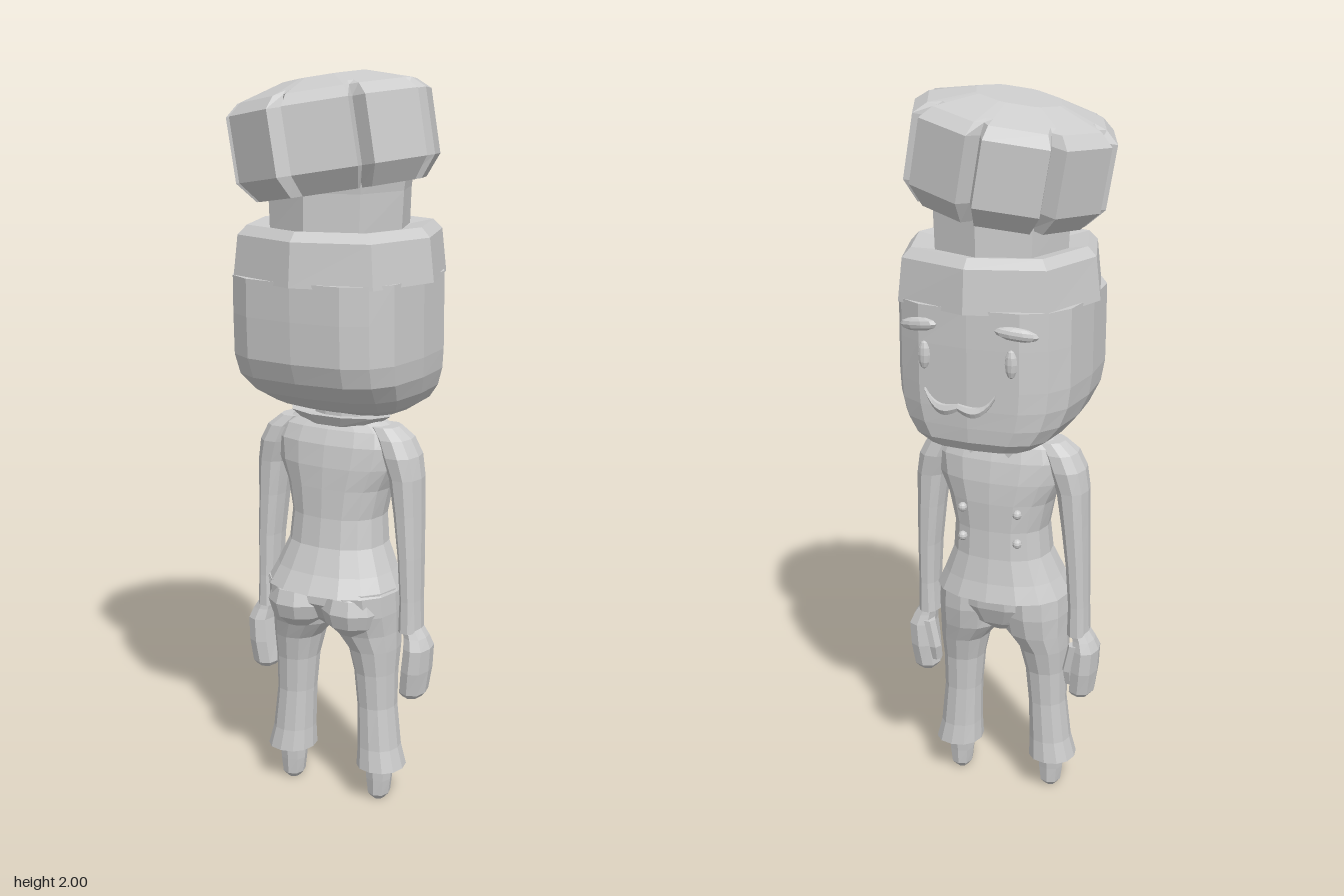
import * as THREE from 'three';

const TAU = Math.PI * 2;
const clay = new THREE.MeshStandardMaterial({ color: 0xcccccc, flatShading: true, side: THREE.DoubleSide });
clay.name = 'clay grey';

function addMesh(parent, name, geometry) {
  const mesh = new THREE.Mesh(geometry, clay);
  mesh.name = name;
  parent.add(mesh);
  return mesh;
}

// Skin through loops of points, closed with a centre fan at both ends
function skin(loops) {
  const n = loops[0].length, pos = [], idx = [];
  loops.forEach((loop) => loop.forEach((p) => pos.push(p.x, p.y, p.z)));
  for (let r = 0; r < loops.length - 1; r++) {
    for (let i = 0; i < n; i++) {
      const a = r * n + i, b = r * n + (i + 1) % n;
      idx.push(a, a + n, b, b, a + n, b + n);
    }
  }
  [0, loops.length - 1].forEach((r) => {
    const c = new THREE.Vector3();
    loops[r].forEach((p) => c.addScaledVector(p, 1 / n));
    const k = pos.length / 3;
    pos.push(c.x, c.y, c.z);
    for (let i = 0; i < n; i++) {
      const a = r * n + i, b = r * n + (i + 1) % n;
      idx.push(k, r ? b : a, r ? a : b);
    }
  });
  const g = new THREE.BufferGeometry();
  g.setAttribute('position', new THREE.Float32BufferAttribute(pos, 3));
  g.setIndex(idx);
  const flat = g.toNonIndexed();
  flat.computeVertexNormals();
  return flat;
}

// Rings are [y, centreX, centreZ, radiusX, radiusZ]; power 2 is an ellipse, more is boxier
function loft(rings, n = 12, power = 2) {
  const round = (v) => Math.sign(v) * Math.abs(v) ** (2 / power);
  return skin(rings.map(([y, cx, cz, rx, rz]) => Array.from({ length: n }, (_, i) => {
    const a = i / n * TAU;
    return new THREE.Vector3(cx + rx * round(Math.cos(a)), y, cz + rz * round(Math.sin(a)));
  })));
}

// Rings given as [y, halfWidth, zBack, zFront]
const body = (rows) => rows.map(([y, w, b, f]) => [y, 0, (b + f) / 2, w, (b - f) / 2]);

function ellipsoid(parent, name, position, scale, tilt = 0) {
  const m = addMesh(parent, name, new THREE.SphereGeometry(1, 10, 6));
  m.position.set(...position);
  m.scale.set(...scale);
  m.rotation.z = tilt;
  return m;
}

function buildHat(root) {
  const hat = new THREE.Group();
  hat.name = 'hat';
  root.add(hat);
  // Octagonal band with a bevelled lip, then the column
  addMesh(hat, 'hatBand', loft([
    [1.47, 0.005, 0.015, 0.275, 0.268], [1.585, 0.005, 0.015, 0.262, 0.258],
    [1.61, 0.005, 0.015, 0.238, 0.235], [1.6, 0.005, 0.015, 0.18, 0.18]], 8, 2.5));
  addMesh(hat, 'hatColumn', loft([
    [1.59, 0, 0.01, 0.182, 0.19], [1.7, 0, 0.01, 0.188, 0.19], [1.78, 0, 0.01, 0.2, 0.2]], 8, 2.2));
  // Tilted crown: eight flat lobes split by narrow grooves
  const profile = [[-0.125, 0.19, 0], [-0.14, 0.22, 1], [-0.085, 0.266, 1], [0.085, 0.266, 1],
    [0.115, 0.235, 0.5], [0.125, 0.205, 0], [0.152, 0.115, 0]];
  const crown = addMesh(hat, 'hatCrown', skin(profile.map(([y, r, groove]) => {
    const loop = [];
    for (let i = 0; i < 8; i++) {
      [[0, r - 0.035 * groove], [0.08, r + 0.008 * groove], [TAU / 8 - 0.08, r + 0.008 * groove]].forEach(([d, q]) => {
        const a = i * TAU / 8 + d;
        loop.push(new THREE.Vector3(q * Math.cos(a), y, q * Math.sin(a)));
      });
    }
    return loop;
  })));
  crown.position.set(-0.018, 1.832, 0.012);
  crown.rotation.z = 0.17;
}

function buildHead(root) {
  const head = new THREE.Group();
  head.name = 'head';
  root.add(head);
  addMesh(head, 'skull', loft(body([
    [1.088, 0.09, -0.02, -0.19], [1.098, 0.15, 0.04, -0.215], [1.125, 0.195, 0.12, -0.234],
    [1.165, 0.228, 0.19, -0.238], [1.215, 0.247, 0.245, -0.24], [1.27, 0.253, 0.266, -0.24],
    [1.38, 0.253, 0.27, -0.24], [1.48, 0.253, 0.27, -0.238]]), 16, 3.2));
  // Face, on the -z side
  for (const s of [-1, 1]) {
    ellipsoid(head, 'eye', [s * 0.12, 1.35, -0.235], [0.017, 0.038, 0.012]);
    ellipsoid(head, 'eyebrow', [s * 0.135, 1.43, -0.235], [0.058, 0.018, 0.016], -s * 0.12).rotation.y = -s * 0.2;
  }
  // Moustache: a tapering crescent with curled ends
  const loops = [];
  for (let i = 0; i <= 16; i++) {
    const t = i / 8 - 1, u = Math.abs(t);
    const x = 0.01 + 0.097 * t;
    const y = 1.232 - 0.012 * Math.sin(u * Math.PI) + 0.035 * u ** 4;
    const z = -0.272 + 0.012 * u * u;
    const r = 0.004 + 0.011 * Math.sin(Math.PI * (0.2 + 0.75 * u));
    loops.push(Array.from({ length: 6 }, (_, k) => {
      const a = -k / 6 * TAU;
      return new THREE.Vector3(x, y + r * Math.sin(a), z + r * 0.8 * Math.cos(a));
    }));
  }
  addMesh(head, 'moustache', skin(loops.reverse()));
}

function buildJacket(root) {
  const jacket = new THREE.Group();
  jacket.name = 'jacket';
  root.add(jacket);
  addMesh(jacket, 'jacketBody', loft(body([
    [0.62, 0.192, 0.188, -0.122], [0.67, 0.168, 0.158, -0.108], [0.74, 0.138, 0.128, -0.096],
    [0.82, 0.132, 0.116, -0.092], [0.9, 0.15, 0.112, -0.093], [0.96, 0.178, 0.108, -0.09],
    [1.02, 0.19, 0.098, -0.08], [1.06, 0.178, 0.08, -0.065], [1.085, 0.13, 0.06, -0.05]]), 16, 2.4));
  addMesh(jacket, 'neck', loft([[1.05, 0, 0.005, 0.085, 0.05], [1.13, 0, 0, 0.08, 0.05]], 10));
  addMesh(jacket, 'collar', loft([
    [1.07, 0, 0.01, 0.11, 0.07], [1.098, 0, 0.01, 0.153, 0.085], [1.092, 0, 0.01, 0.09, 0.055]], 10));
  for (const s of [-1, 1]) {
    // Folded collar point
    const flap = new THREE.Shape([[0, 1.09], [0.1, 1.09], [0.055, 1.04]].map(([x, y]) => new THREE.Vector2(s * x, y)));
    const wing = addMesh(jacket, 'collarPoint', new THREE.ExtrudeGeometry(flap, { depth: 0.008, bevelEnabled: false }));
    wing.position.z = -0.088;
    for (const y of [0.88, 0.795]) ellipsoid(jacket, 'button', [s * 0.08, y, -0.088], [0.013, 0.013, 0.014]);
  }
}

function buildLimbs(root, s) {
  const side = (rings) => rings.map(([y, x, ...rest]) => [y, s * x, ...rest]);
  const arm = new THREE.Group();
  arm.name = 'arm';
  root.add(arm);
  addMesh(arm, 'sleeve', loft(side([
    [0.51, 0.226, 0.015, 0.03, 0.046], [0.6, 0.226, 0.014, 0.027, 0.046], [0.72, 0.222, 0.012, 0.03, 0.051],
    [0.84, 0.214, 0.01, 0.036, 0.056], [0.94, 0.206, 0.01, 0.043, 0.06], [1.0, 0.19, 0.01, 0.05, 0.066],
    [1.045, 0.17, 0.01, 0.047, 0.06], [1.075, 0.14, 0.01, 0.04, 0.045]]), 10, 2.3));
  addMesh(arm, 'hand', loft(side([
    [0.322, 0.236, 0.018, 0.024, 0.035], [0.335, 0.237, 0.018, 0.035, 0.046], [0.4, 0.245, 0.017, 0.036, 0.054],
    [0.465, 0.25, 0.016, 0.035, 0.052], [0.495, 0.242, 0.015, 0.03, 0.042], [0.525, 0.23, 0.015, 0.022, 0.035]]), 8, 2.6));
  addMesh(arm, 'thumb', loft(side([
    [0.355, 0.205, 0.0, 0.013, 0.015], [0.4, 0.205, -0.008, 0.018, 0.022], [0.48, 0.222, -0.008, 0.018, 0.022]]), 6));

  const leg = new THREE.Group();
  leg.name = 'leg';
  root.add(leg);
  addMesh(leg, 'trouserLeg', loft(side([
    [0.1, 0.145, 0.033, 0.067, 0.07], [0.16, 0.138, 0.032, 0.058, 0.062], [0.28, 0.13, 0.03, 0.053, 0.058],
    [0.38, 0.126, 0.03, 0.058, 0.065], [0.45, 0.12, 0.028, 0.068, 0.08], [0.5, 0.1, 0.028, 0.088, 0.097],
    [0.56, 0.095, 0.035, 0.095, 0.115], [0.63, 0.09, 0.04, 0.098, 0.12]]), 12, 2.2));
  // Seat bulge at the back
  ellipsoid(leg, 'trouserSeat', [s * 0.085, 0.57, 0.085], [0.09, 0.08, 0.088]);
  addMesh(leg, 'foot', loft(side([
    [0.0, 0.14, 0.035, 0.016, 0.02], [0.015, 0.14, 0.035, 0.029, 0.034], [0.06, 0.14, 0.035, 0.035, 0.037],
    [0.12, 0.14, 0.033, 0.039, 0.042]]), 8, 2.4));
}

export function createModel() {
  const root = new THREE.Group();
  root.name = 'cook';
  buildHat(root);
  buildHead(root);
  buildJacket(root);
  // Hips bridge the two legs above the crotch
  addMesh(root, 'trouserHips', loft(body([
    [0.5, 0.045, 0.07, -0.03], [0.53, 0.12, 0.11, -0.065], [0.58, 0.185, 0.145, -0.085],
    [0.64, 0.165, 0.14, -0.09]]), 14));
  for (const s of [-1, 1]) buildLimbs(root, s);
  return root;
}
